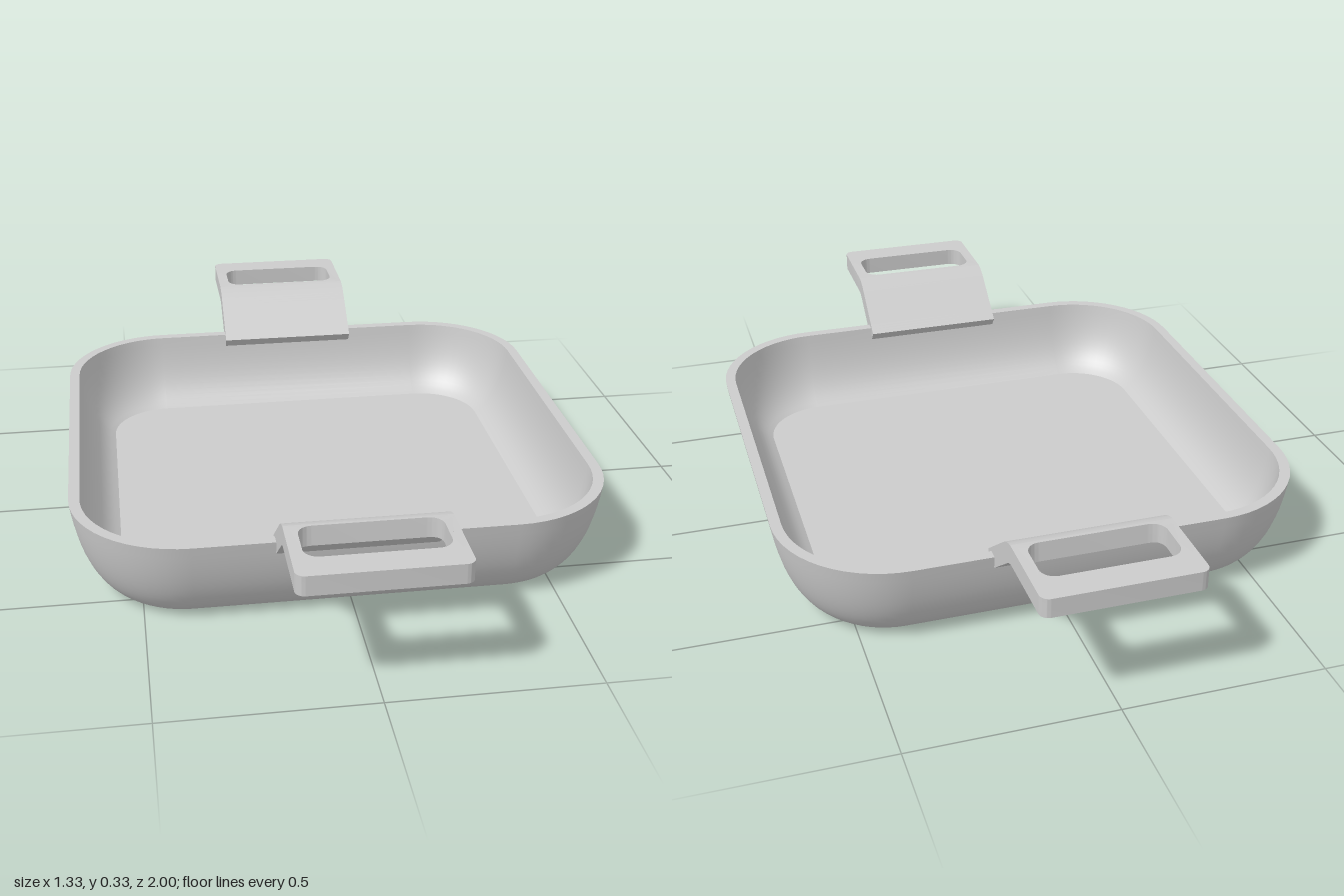
import * as THREE from 'three';
import { toCreasedNormals } from 'three/addons/utils/BufferGeometryUtils.js';

const material = new THREE.MeshStandardMaterial({ color: 0xcccccc });

function mesh(name, geometry, crease = 0.5) {
  const m = new THREE.Mesh(toCreasedNormals(geometry, crease), material);
  m.name = name;
  return m;
}

// Sampled wall curve as [half width, height] pairs
function wallCurve(...p) {
  const v = p.map(([x, y]) => new THREE.Vector2(x, y));
  return new THREE.CubicBezierCurve(...v).getPoints(12).map((q) => [q.x, q.y]);
}

// Rounded-square dish lofted through rings: base, outer wall, rim, inner wall, floor
function dishGeometry() {
  const outer = wallCurve([0.562, 0], [0.62, 0.035], [0.65, 0.11], [0.665, 0.225]);
  const inner = wallCurve([0.638, 0.225], [0.625, 0.13], [0.6, 0.06], [0.545, 0.03]);
  const profile = [[0, 0], ...outer, ...inner, [0, 0.03]];
  const corner = 0.385, steps = 14, n = 4 * (steps + 1);
  const positions = [], index = [];
  for (const [half, y] of profile) {
    const c = half ? corner : 0;
    for (let q = 0; q < 4; q++) {
      const mid = (q + 0.5) * Math.PI / 2;
      const cx = c * Math.sign(Math.cos(mid)), cz = c * Math.sign(Math.sin(mid));
      for (let k = 0; k <= steps; k++) {
        const a = (q + k / steps) * Math.PI / 2;
        positions.push(cx + (half - c) * Math.cos(a), y, cz + (half - c) * Math.sin(a));
      }
    }
  }
  const last = profile.length - 2;
  for (let i = 0; i <= last; i++) {
    for (let j = 0; j < n; j++) {
      const a = i * n + j, d = i * n + (j + 1) % n;
      if (i < last) index.push(a, a + n, d + n);
      if (i > 0) index.push(a, d + n, d);
    }
  }
  const g = new THREE.BufferGeometry();
  g.setAttribute('position', new THREE.Float32BufferAttribute(positions, 3));
  g.setIndex(index);
  return g;
}

// Handle sizes: half width, thickness, top height, bend start, radius and angle
const W = 0.192, T = 0.048, TOP = 0.333, START = 0.8, R = 0.11, ANGLE = 0.663;
const JOIN = 0.78, END = 0.575;

// Bends a flat strip (z = length, y = depth below the top) down toward the dish
function bend(g) {
  const p = g.attributes.position;
  for (let i = 0; i < p.count; i++) {
    const s = p.getZ(i), t = p.getY(i);
    if (s >= START) {
      p.setY(i, TOP + t);
      continue;
    }
    const a = Math.min((START - s) / R, ANGLE);
    const run = START - s - a * R;
    p.setZ(i, START - (R + t) * Math.sin(a) - run * Math.cos(a));
    p.setY(i, TOP - R + (R + t) * Math.cos(a) - run * Math.sin(a));
  }
  return g;
}

// Rectangle path with separate radii for its near and far corners
function roundRect(path, w, y0, y1, r0, r1) {
  path.moveTo(-w + r0, y0).lineTo(w - r0, y0);
  if (r0) path.absarc(w - r0, y0 + r0, r0, -Math.PI / 2, 0);
  path.lineTo(w, y1 - r1).absarc(w - r1, y1 - r1, r1, 0, Math.PI / 2);
  path.lineTo(-w + r1, y1).absarc(-w + r1, y1 - r1, r1, Math.PI / 2, Math.PI);
  path.lineTo(-w, y0 + r0);
  if (r0) path.absarc(-w + r0, y0 + r0, r0, Math.PI, Math.PI * 1.5);
  return path;
}

function handle(name) {
  const group = new THREE.Group();
  group.name = name;

  // Flat grip with its slot
  const shape = roundRect(new THREE.Shape(), W, JOIN, 1, 0, 0.022);
  shape.holes.push(roundRect(new THREE.Path(), 0.163, 0.79, 0.925, 0.035, 0.035));
  const grip = new THREE.ExtrudeGeometry(shape, { depth: T, bevelEnabled: false, curveSegments: 8 });
  grip.rotateX(Math.PI / 2);
  group.add(mesh('grip', bend(grip)));

  // Curved neck that overlaps the rim
  const neck = new THREE.BoxGeometry(2 * W, T, JOIN - END, 1, 1, 24);
  neck.translate(0, -T / 2, (JOIN + END) / 2);
  group.add(mesh('neck', bend(neck)));
  return group;
}

export function createModel() {
  const model = new THREE.Group();
  model.name = 'squarePan';
  model.add(mesh('dish', dishGeometry(), 0.4));
  const back = handle('backHandle');
  back.rotation.y = Math.PI;
  model.add(handle('frontHandle'), back);
  return model;
}
